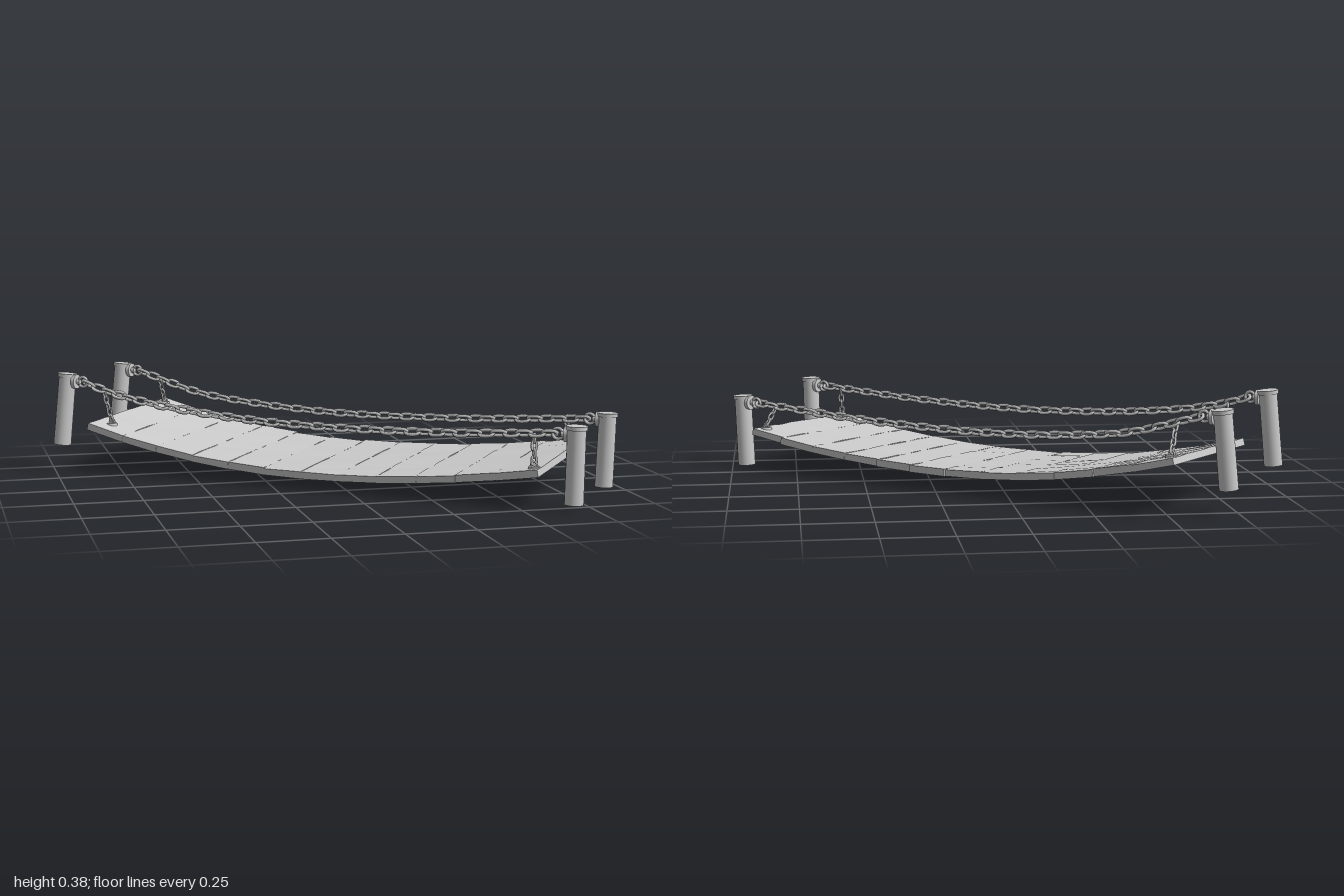
import * as THREE from 'three';

const mat = new THREE.MeshStandardMaterial({ color: 0xcccccc });
const flat = new THREE.MeshStandardMaterial({ color: 0xcccccc, flatShading: true, side: THREE.DoubleSide });
const V = (x, y, z) => new THREE.Vector3(x, y, z);
const UP = V(0, 1, 0);

let seed = 7;
const rand = () => (seed = (seed * 16807) % 2147483647) / 2147483647;
const jitter = (a) => (rand() - 0.5) * 2 * a;

function add(parent, name, geo, material = mat) {
  const m = new THREE.Mesh(geo, material);
  m.name = name;
  parent.add(m);
  return m;
}

// cylinder running between two points
function rod(parent, name, a, b, rA, rB, sides = 20) {
  const m = add(parent, name, new THREE.CylinderGeometry(rB, rA, a.distanceTo(b), sides));
  m.position.copy(a).lerp(b, 0.5);
  m.quaternion.setFromUnitVectors(UP, b.clone().sub(a).normalize());
  return m;
}

// one oval chain link, long axis along x, lying in the xy plane
function linkGeometry(length, width, r) {
  const pts = [], R = width / 2 - r, s = length / 2 - width / 2;
  for (const side of [1, -1])
    for (let i = 0; i <= 4; i++) {
      const a = -Math.PI / 2 + (i / 4) * Math.PI;
      pts.push(V(side * (s + R * Math.cos(a)), side * R * Math.sin(a), 0));
    }
  return new THREE.TubeGeometry(new THREE.CatmullRomCurve3(pts, true), 20, r, 6, true);
}

// links spaced along a curve, every second one turned a quarter
function chain(parent, name, points, pitch, geo) {
  const g = new THREE.Group();
  g.name = name;
  parent.add(g);
  const curve = new THREE.CatmullRomCurve3(points);
  const n = Math.max(2, Math.round(curve.getLength() / pitch));
  for (let i = 0; i < n; i++) {
    const t = (i + 0.5) / n;
    const link = add(g, 'chainLink', geo);
    link.position.copy(curve.getPointAt(t));
    link.quaternion.setFromUnitVectors(V(1, 0, 0), curve.getTangentAt(t));
    link.rotateX(Math.PI / 4 + (i % 2) * Math.PI / 2);
  }
}

// top of the deck: sagging along x, slightly higher on the -z side
const deckY = (x, z = 0) => 0.083 + (x < 0 ? 0.15 : 0.092) * x * x - 0.033 * z;

function buildDeck(parent) {
  const deck = new THREE.Group();
  deck.name = 'deck';
  parent.add(deck);
  const count = 12, start = -0.906, step = 1.81 / count, thick = 0.026;
  for (let i = 0; i < count; i++) {
    const x0 = start + i * step, x1 = x0 + step, xm = (x0 + x1) / 2;
    const bow = 0.022 * (1 - (xm / 0.9) ** 2);
    const zA = -0.338 - bow + jitter(0.006), zB = 0.268 + jitter(0.004);
    const y0 = deckY(x0), y1 = deckY(x1);
    const geo = new THREE.BoxGeometry(Math.hypot(step, y1 - y0) + 0.002, thick, zB - zA, 1, 1, 10);
    // worn, slightly uneven upper edges
    const p = geo.attributes.position, wear = Array.from({ length: 22 }, () => jitter(0.0022));
    for (let k = 0; k < p.count; k++) {
      if (p.getY(k) < 0) continue;
      const row = Math.round((p.getZ(k) / (zB - zA) + 0.5) * 10);
      p.setY(k, p.getY(k) + wear[row + (p.getX(k) > 0 ? 11 : 0)]);
    }
    geo.computeVertexNormals();
    const plank = add(deck, 'plank', geo, flat);
    const zm = (zA + zB) / 2;
    plank.position.set(xm, (y0 + y1) / 2 - 0.033 * zm - thick / 2, zm);
    plank.rotation.set(0.033, jitter(0.006), Math.atan2(y1 - y0, step));
  }
}

export function createModel() {
  const root = new THREE.Group();
  root.name = 'chainBridge';
  const bridge = new THREE.Group();
  bridge.name = 'bridge';
  bridge.rotation.y = -0.666; // the span runs diagonally
  root.add(bridge);

  buildDeck(bridge);

  // posts: top position, lean of the foot, height of the chain fixing
  const posts = [
    { top: V(-1.0, 0.385, 0.254), lean: [-0.022, 0.016], eye: 0.355 },
    { top: V(-1.024, 0.373, -0.205), lean: [-0.022, 0.016], eye: 0.345 },
    { top: V(1.023, 0.303, 0.202), lean: [-0.004, 0.003], eye: 0.272 },
    { top: V(1.01, 0.283, -0.26), lean: [-0.007, 0.006], eye: 0.257 },
  ];
  const ring = new THREE.TorusGeometry(0.019, 0.006, 8, 18);
  for (const { top, lean, eye } of posts) {
    const g = new THREE.Group();
    g.name = 'post';
    bridge.add(g);
    const foot = V(top.x + lean[0], top.y - 0.277, top.z + lean[1]);
    const axis = top.clone().sub(foot).normalize();
    rod(g, 'postShaft', foot, top, 0.034, 0.033, 24);
    rod(g, 'postCap', top.clone().addScaledVector(axis, -0.014), top, 0.038, 0.038, 24);
    // eye fixing facing the span
    const d = -Math.sign(top.x);
    const at = (o) => V(top.x + d * o, eye, top.z);
    rod(g, 'fixingPlate', at(0.028), at(0.042), 0.028, 0.028);
    rod(g, 'fixingStem', at(0.04), at(0.056), 0.011, 0.011, 12);
    add(g, 'fixingRing', ring).position.copy(at(0.068));
  }

  // handrail chains
  const bigLink = linkGeometry(0.066, 0.038, 0.0065);
  chain(bridge, 'nearRailChain', [
    V(-0.93, 0.355, 0.252), V(-0.85, 0.33, 0.25), V(-0.69, 0.296, 0.246), V(-0.4, 0.262, 0.239),
    V(0, 0.242, 0.228), V(0.5, 0.248, 0.216), V(0.95, 0.273, 0.204)], 0.046, bigLink);
  chain(bridge, 'farRailChain', [
    V(-0.95, 0.345, -0.206), V(-0.85, 0.315, -0.21), V(-0.67, 0.267, -0.215), V(-0.4, 0.236, -0.223),
    V(-0.05, 0.22, -0.232), V(0.45, 0.229, -0.246), V(0.94, 0.257, -0.258)], 0.046, bigLink);

  // short chains tying the rails down to the deck corners
  const smallLink = linkGeometry(0.042, 0.026, 0.0048);
  const ties = [
    [V(-0.845, 0.325, 0.245), -0.845, 0.188],
    [V(-0.855, 0.313, -0.212), -0.868, -0.272],
    [V(0.872, 0.264, 0.207), 0.878, 0.222],
    [V(0.848, 0.246, -0.257), 0.876, -0.285],
  ];
  for (const [hook, x, z] of ties) {
    const y = deckY(x, z);
    chain(bridge, 'tieChain', [hook, V(x, y + 0.014, z)], 0.027, smallLink);
    rod(bridge, 'tiePlate', V(x, y - 0.003, z), V(x, y + 0.007, z), 0.022, 0.02, 16);
    add(bridge, 'tieEye', new THREE.TorusGeometry(0.011, 0.004, 6, 14)).position.set(x, y + 0.012, z);
  }
  return root;
}
